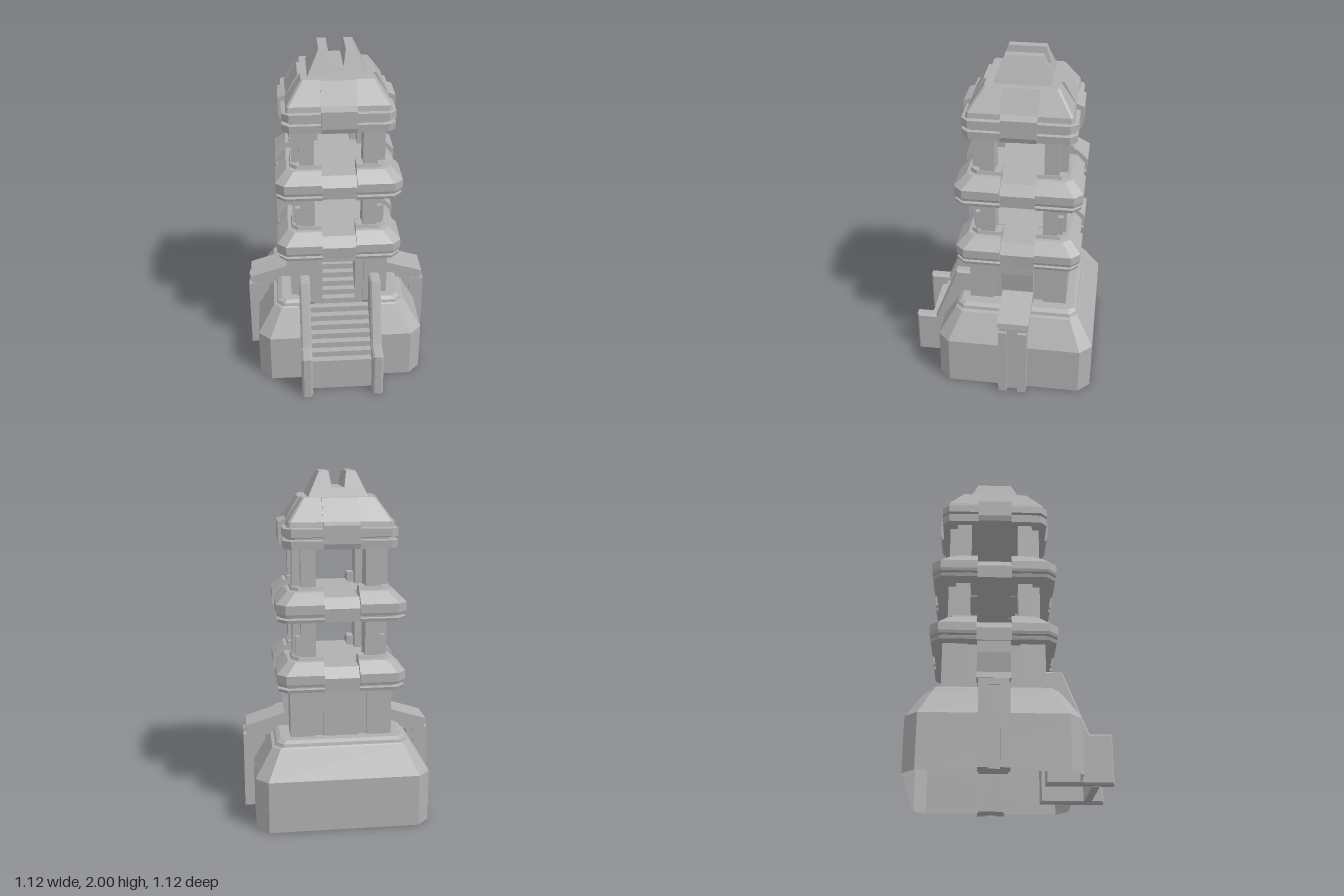
import * as THREE from 'three';
import { ConvexGeometry } from 'three/addons/geometries/ConvexGeometry.js';

const stone = new THREE.MeshStandardMaterial({ color: 0xb0b0b0, side: THREE.DoubleSide });
stone.name = 'grey stone';

const CZ = -0.0925; // depth of the tower axis

function add(parent, geometry, name) {
  const mesh = new THREE.Mesh(geometry, stone);
  mesh.name = name;
  parent.add(mesh);
  return mesh;
}

// Box given by its minimum and maximum corners
function block(parent, name, x0, x1, y0, y1, z0, z1) {
  const g = new THREE.BoxGeometry(x1 - x0, y1 - y0, z1 - z0);
  g.translate((x0 + x1) / 2, (y0 + y1) / 2, (z0 + z1) / 2);
  return add(parent, g, name);
}

// Joins stacked outlines [{ y, pts: [[x, z], ...] }] with flat faces
function loft(rings, closed = true) {
  const pos = [];
  const n = rings[0].pts.length;
  const put = (r, i) => pos.push(r.pts[i % n][0], r.y, r.pts[i % n][1]);
  for (let k = 0; k < rings.length - 1; k++) {
    const a = rings[k], b = rings[k + 1];
    for (let i = 0; i < (closed ? n : n - 1); i++) {
      put(a, i); put(b, i); put(a, i + 1);
      put(a, i + 1); put(b, i); put(b, i + 1);
    }
  }
  if (closed) {
    const bottom = rings[0], top = rings[rings.length - 1];
    for (let i = 1; i < n - 1; i++) {
      put(bottom, 0); put(bottom, i); put(bottom, i + 1);
      put(top, 0); put(top, i + 1); put(top, i);
    }
  }
  const g = new THREE.BufferGeometry();
  g.setAttribute('position', new THREE.Float32BufferAttribute(pos, 3));
  g.computeVertexNormals();
  return g;
}

const rect = (hx, hz) => [[hx, -hz], [hx, hz], [-hx, hz], [-hx, -hz]];

// One chamfered corner outline, hollowed inside 'inner'
const corner = (h, c, inner) => [
  [inner, inner], [inner, 0.1], [h, 0.1], [h, h - c], [h - c, h], [0.1, h], [0.1, inner],
];

// Four identical corners around the axis
function fourCorners(parent, make) {
  for (let i = 0; i < 4; i++) {
    const g = new THREE.Group();
    g.name = 'corner' + (i + 1);
    g.rotation.y = i * Math.PI / 2;
    make(g);
    parent.add(g);
  }
}

// Two crossing bands that show between the corners
function crossBands(parent, name, profile, y) {
  add(parent, loft(profile.map(([h, dy]) => ({ y: y + dy, pts: rect(h, 0.1) }))), name + 'Sides');
  add(parent, loft(profile.map(([h, dy]) => ({ y: y + dy, pts: rect(0.1, h) }))), name + 'Front');
}

function makeBase(tower) {
  const gap = 0.18;
  const outline = (hx, hz, c) => [
    [-gap, hz], [-hx + c, hz], [-hx, hz - c], [-hx, -hz + c], [-hx + c, -hz],
    [hx - c, -hz], [hx, -hz + c], [hx, hz - c], [hx - c, hz], [gap, hz],
  ];
  // Open shell, split at the front for the stairs
  const levels = [
    [0.5, 0.468, 0.07, 0], [0.5, 0.468, 0.07, 0.305], [0.4, 0.372, 0.045, 0.465],
    [0.38, 0.365, 0.04, 0.472], [0.375, 0.36, 0.04, 0.49], [0.35, 0.34, 0.03, 0.505],
    [0.25, 0.25, 0.02, 0.505],
  ];
  add(tower, loft(levels.map(([x, z, c, y]) => ({ y, pts: outline(x, z, c) })), false), 'base');
}

function makeStairs(root) {
  const rise = 0.0365, run = 0.041;
  for (let i = 0; i < 13; i++) {
    const z = 0.485 - run * i, top = 0.21 + rise * i;
    const w = z > 0.2 ? 0.185 : 0.1;
    block(root, 'step', -w, w, i ? top - rise - 0.004 : 0, top, z - run - 0.002, z);
  }
  block(root, 'landing', -0.1, 0.1, 0.61, 0.648, -0.36, -0.04);

  // Sloping side rails with chamfered edges
  const s = new THREE.Shape();
  [[0.56, 0], [0.56, 0.28], [0.437, 0.28], [0.295, 0.645], [0.19, 0.645], [0.19, 0]]
    .forEach(([z, y], i) => (i ? s.lineTo(-z, y) : s.moveTo(-z, y)));
  for (const x of [-0.245, 0.18]) {
    const g = new THREE.ExtrudeGeometry(s, {
      depth: 0.041, bevelEnabled: true, bevelThickness: 0.012, bevelSize: 0.01, bevelOffset: -0.01, bevelSegments: 1,
    });
    g.translate(0, 0, 0.012);
    g.rotateY(Math.PI / 2);
    g.translate(x, 0, 0);
    add(root, g, 'stairRail');
  }
}

function makeBody(tower) {
  fourCorners(tower, g => block(g, 'bodyCorner', 0.15, 0.292, 0.44, 0.79, 0.15, 0.292));
  block(tower, 'backWall', -0.16, 0.16, 0.44, 0.79, -0.275, -0.24);
  block(tower, 'backPilaster', -0.1, 0.1, 0.44, 0.79, -0.29, -0.26);
  // Doorway
  block(tower, 'lintel', -0.15, 0.15, 0.72, 0.79, 0.2, 0.27);
  for (const s of [-1, 1]) {
    block(tower, 'doorJamb', s * 0.125 - 0.025, s * 0.125 + 0.025, 0.4, 0.79, 0.15, 0.27);
    block(tower, 'sideWall', s * 0.255 - 0.02, s * 0.255 + 0.02, 0.44, 0.79, -0.16, 0.16);

    // Side buttress: tapered pilaster, sloping cap and ribbed pier
    const wedge = [];
    for (const z of [-0.095, 0.095]) {
      for (const [x, y] of [[0.25, 0.5], [0.25, 0.79], [0.337, 0.79], [0.335, 0.72], [0.3, 0.5]]) {
        wedge.push(new THREE.Vector3(s * x, y, z));
      }
    }
    add(tower, new ConvexGeometry(wedge), 'sidePilaster');
    const cap = [];
    for (const z of [-0.095, 0.09]) {
      for (const [x, y] of [[0.25, 0.59], [0.31, 0.588], [0.545, 0.515], [0.55, 0.48], [0.25, 0.56]]) {
        cap.push(new THREE.Vector3(s * x, y, z));
      }
    }
    add(tower, new ConvexGeometry(cap), 'buttressCap');
    const under = [];
    for (const z of [-0.085, 0.08]) {
      for (const [x, y] of [[0.25, 0.57], [0.54, 0.49], [0.54, 0.45], [0.25, 0.45]]) {
        under.push(new THREE.Vector3(s * x, y, z));
      }
    }
    add(tower, new ConvexGeometry(under), 'buttressBracket');
    block(tower, 'buttressPier', s * 0.48 - 0.05, s * 0.48 + 0.05, 0, 0.46, -0.075, 0.075);
    for (const z of [-0.058, 0.058]) {
      block(tower, 'buttressRib', s * 0.515 - 0.044, s * 0.515 + 0.044, 0, 0.455, z - 0.026, z + 0.026);
    }
  }
}

// Gallery slab with stepped corners, low bands between them and a sunken floor
function makeGallery(tower, y) {
  const profile = [
    [0.355, 0], [0.36, 0.018], [0.34, 0.022], [0.34, 0.03], [0.36, 0.034], [0.365, 0.05],
    [0.365, 0.1], [0.3, 0.162], [0.28, 0.165], [0.275, 0.185],
  ];
  fourCorners(tower, g => add(g,
    loft(profile.map(([h, dy]) => ({ y: y + dy, pts: corner(h, 0.05 * h / 0.365, 0.2) }))), 'galleryCorner'));
  crossBands(tower, 'galleryBand', [[0.345, 0], [0.35, 0.075], [0.3, 0.13]], y);
  block(tower, 'galleryFloor', -0.21, 0.21, y + 0.005, y + 0.125, -0.21, 0.21);
}

// Notched corner pillars
function makePillars(tower, y0, y1, bracketTop) {
  fourCorners(tower, g => {
    block(g, 'pillarA', 0.14, 0.225, y0, y1, 0.14, 0.27);
    block(g, 'pillarB', 0.14, 0.27, y0, y1, 0.14, 0.225);
    if (bracketTop) block(g, 'pillarFoot', 0.2, 0.255, y0, bracketTop, 0.2, 0.255);
  });
}

function makeRoof(tower) {
  const y = 1.59;
  const profile = [
    [0.315, 0], [0.318, 0.045], [0.3, 0.05], [0.3, 0.06], [0.318, 0.065], [0.318, 0.11],
    [0.295, 0.115], [0.29, 0.145], [0.205, 0.27],
  ];
  fourCorners(tower, g => add(g,
    loft(profile.map(([h, dy]) => ({ y: y + dy, pts: corner(h, dy > 0.11 ? 0.012 : 0.04, 0.098) }))), 'roofCorner'));
  crossBands(tower, 'roofBand', [[0.325, 0], [0.336, 0.03], [0.336, 0.13], [0.292, 0.147], [0.222, 0.27]], y);

  // Crown with two prongs
  add(tower, loft([
    { y: 1.86, pts: rect(0.168, 0.158) }, { y: 1.91, pts: rect(0.145, 0.139) },
  ]), 'crownBase');
  for (const s of [-1, 1]) {
    const pts = [];
    for (const z of [-1, 1]) {
      pts.push(new THREE.Vector3(s * 0.035, 1.91, z * 0.139), new THREE.Vector3(s * 0.145, 1.91, z * 0.139),
        new THREE.Vector3(s * 0.05, 2, z * 0.105), new THREE.Vector3(s * 0.102, 2, z * 0.105));
    }
    add(tower, new ConvexGeometry(pts), 'crownProng');
  }
}

export function createModel() {
  const root = new THREE.Group();
  root.name = 'stoneTower';
  const tower = new THREE.Group();
  tower.name = 'tower';
  tower.position.z = CZ;
  root.add(tower);

  makeBase(tower);
  makeStairs(root);
  makeBody(tower);
  makeGallery(tower, 0.79);
  makePillars(tower, 0.9, 1.2, 1.09);
  makeGallery(tower, 1.19);
  makePillars(tower, 1.3, 1.6, 0);
  makeRoof(tower);
  return root;
}
